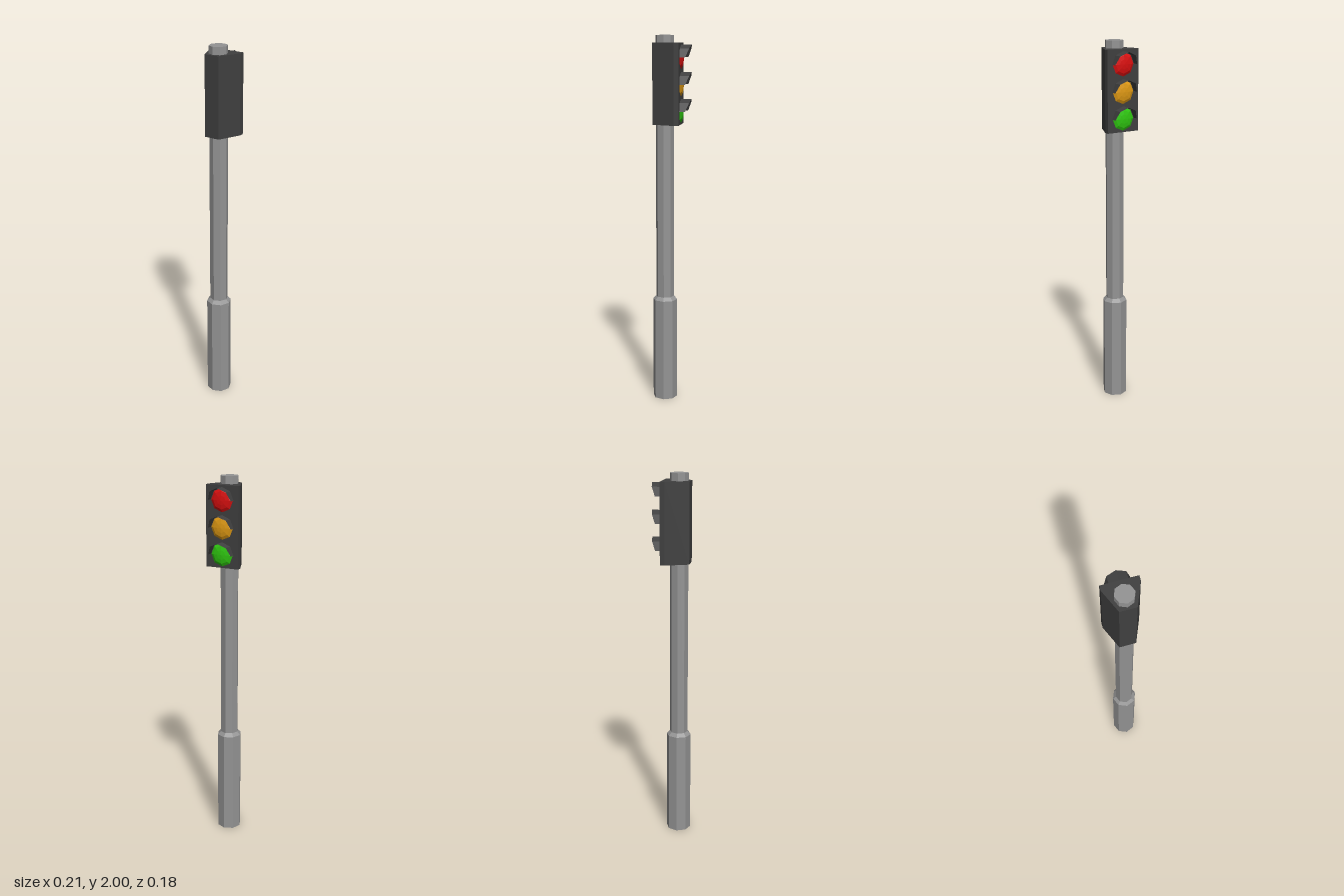
import * as THREE from 'three';

const mat = (name, color, side = THREE.FrontSide) => {
  const m = new THREE.MeshStandardMaterial({ color, side });
  m.name = name;
  return m;
};

// Faceted normals for the low-poly look
const facet = (geometry) => {
  const g = geometry.index ? geometry.toNonIndexed() : geometry;
  g.computeVertexNormals();
  return g;
};

const lathe = (profile) =>
  new THREE.LatheGeometry(profile.map(([r, y]) => new THREE.Vector2(r, y)), 8);

// Half-octagon hood whose front edge slants forward towards the top
function visorGeometry(radius) {
  const g = new THREE.CylinderGeometry(radius, radius, 1, 4, 1, true, Math.PI, Math.PI);
  g.rotateZ(-Math.PI / 2);
  const p = g.attributes.position;
  for (let i = 0; i < p.count; i++) {
    p.setX(i, p.getX(i) < 0 ? 0 : 0.03 + 0.027 * p.getY(i) / radius);
  }
  return facet(g);
}

export function createModel() {
  const model = new THREE.Group();
  model.name = 'trafficLight';

  const grey = mat('pole grey', 0x949494);
  const dark = mat('housing dark grey', 0x404040, THREE.DoubleSide);
  const lamps = [
    ['red', 1.885, mat('lamp red', 0xdc1010)],
    ['amber', 1.744, mat('lamp amber', 0xe09a14)],
    ['green', 1.605, mat('lamp green', 0x2fc810)],
  ];

  const add = (name, geometry, material, x = 0, y = 0) => {
    const mesh = new THREE.Mesh(geometry, material);
    mesh.name = name;
    mesh.position.set(x, y, 0);
    model.add(mesh);
  };

  // Octagonal pole with a thicker, bevelled foot
  const pole = lathe([[0, 0], [0.067, 0], [0.067, 0.57], [0.049, 0.588], [0.049, 2], [0, 2]]);
  add('pole', facet(pole), grey, -0.038);

  // Housing, tapering towards the back
  const plan = new THREE.Shape([
    [-0.098, -0.042], [0.022, -0.092], [0.048, -0.092],
    [0.048, 0.092], [0.022, 0.092], [-0.098, 0.042],
  ].map(([x, z]) => new THREE.Vector2(x, z)));
  const housing = new THREE.ExtrudeGeometry(plan, { depth: 0.425, bevelEnabled: false });
  housing.rotateX(-Math.PI / 2);
  add('housing', facet(housing), dark, 0, 1.535);

  // Shallow domed lamps, each under its own visor
  const lens = lathe([[0.062, 0], [0.047, 0.008], [0.025, 0.012], [0, 0.014]]);
  lens.rotateZ(-Math.PI / 2);
  const lensGeometry = facet(lens);
  const visor = visorGeometry(0.065);
  for (const [name, y, material] of lamps) {
    add(name + 'Lamp', lensGeometry, material, 0.048, y);
    add(name + 'Visor', visor, dark, 0.048, y);
  }

  return model;
}
